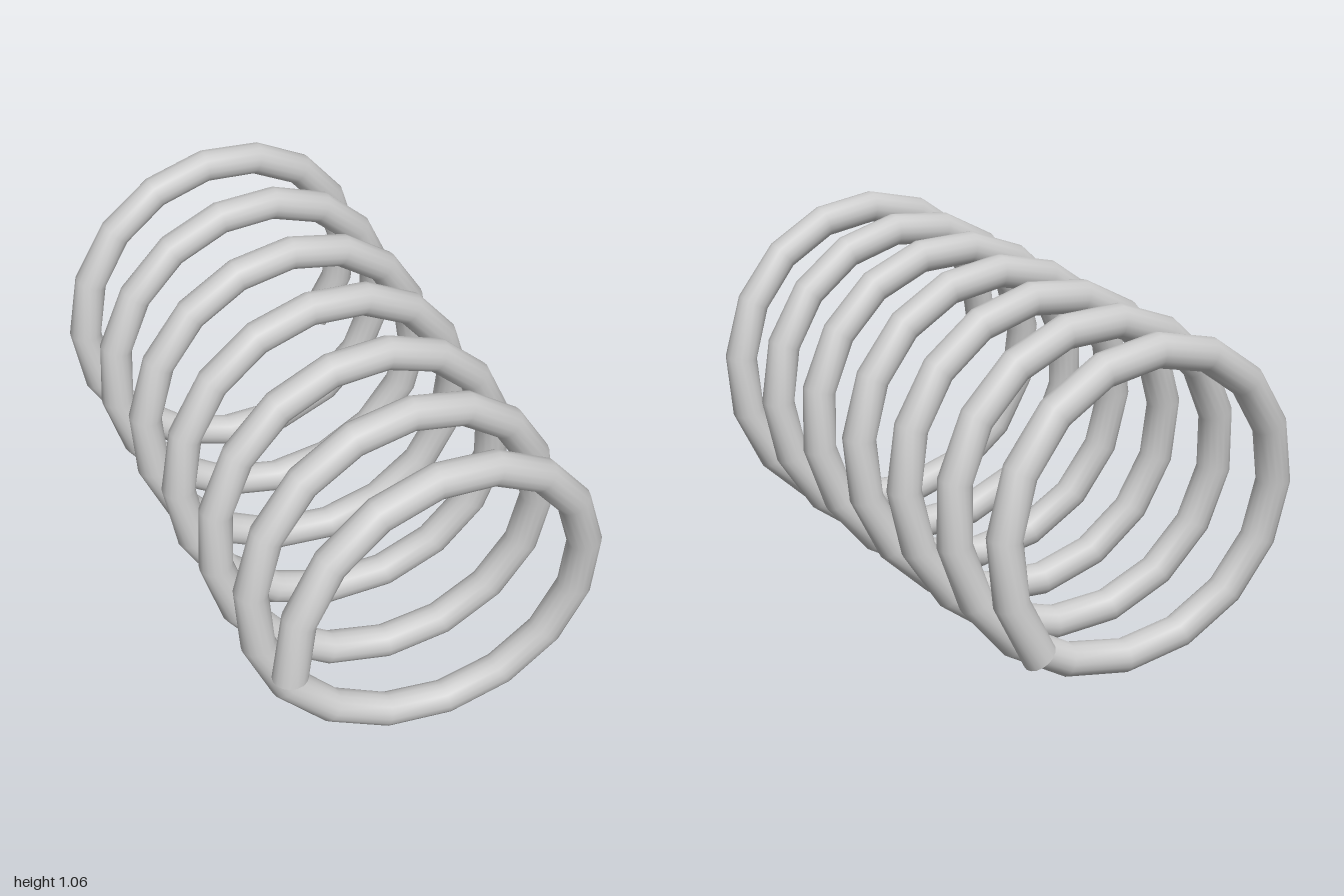
import * as THREE from 'three';

const COIL_R = 0.48, WIRE_R = 0.05, AXIS_Y = 0.53;
const STEPS = 110, SIDES = 16;
const STEP_ANGLE = THREE.MathUtils.degToRad(21.6); // 6.6 turns in all
const Z_START = 0.95, Z_END = -0.95;

// Angle and depth of the wire's centre at step i, winding clockwise from the left of the front
const angleAt = i => Math.PI - i * STEP_ANGLE;
const depthAt = i => THREE.MathUtils.lerp(Z_START, Z_END, i / STEPS);

// Round wire swept along the helix, each ring lying in the plane through the coil's axis
function coilGeometry() {
  const positions = [], index = [];
  for (let i = 0; i <= STEPS; i++) {
    const t = angleAt(i);
    for (let j = 0; j < SIDES; j++) {
      const a = (j / SIDES) * Math.PI * 2;
      const r = COIL_R + WIRE_R * Math.cos(a);
      positions.push(r * Math.cos(t), AXIS_Y + r * Math.sin(t), depthAt(i) + WIRE_R * Math.sin(a));
      if (i < STEPS) {
        const p = i * SIDES + j, q = i * SIDES + (j + 1) % SIDES;
        index.push(p, q, p + SIDES, q, q + SIDES, p + SIDES);
      }
    }
  }
  const g = new THREE.BufferGeometry();
  g.setAttribute('position', new THREE.Float32BufferAttribute(positions, 3));
  g.setIndex(index);
  g.computeVertexNormals();
  return g;
}

// Flat disc closing the wire at step i; facing is -1 at the start, 1 at the end
function endCap(i, facing, material) {
  const t = angleAt(i);
  const g = new THREE.CircleGeometry(WIRE_R, SIDES)
    .rotateX(-facing * Math.PI / 2)
    .rotateZ(t - Math.PI);
  const cap = new THREE.Mesh(g, material);
  cap.position.set(COIL_R * Math.cos(t), AXIS_Y + COIL_R * Math.sin(t), depthAt(i));
  return cap;
}

export function createModel() {
  const group = new THREE.Group();
  group.name = 'coilSpring';
  const material = new THREE.MeshStandardMaterial({ color: 0xcccccc });

  const coil = new THREE.Mesh(coilGeometry(), material);
  coil.name = 'coil';

  const frontCap = endCap(0, -1, material);
  frontCap.name = 'frontWireEnd';
  const backCap = endCap(STEPS, 1, material);
  backCap.name = 'backWireEnd';

  group.add(coil, frontCap, backCap);
  return group;
}
